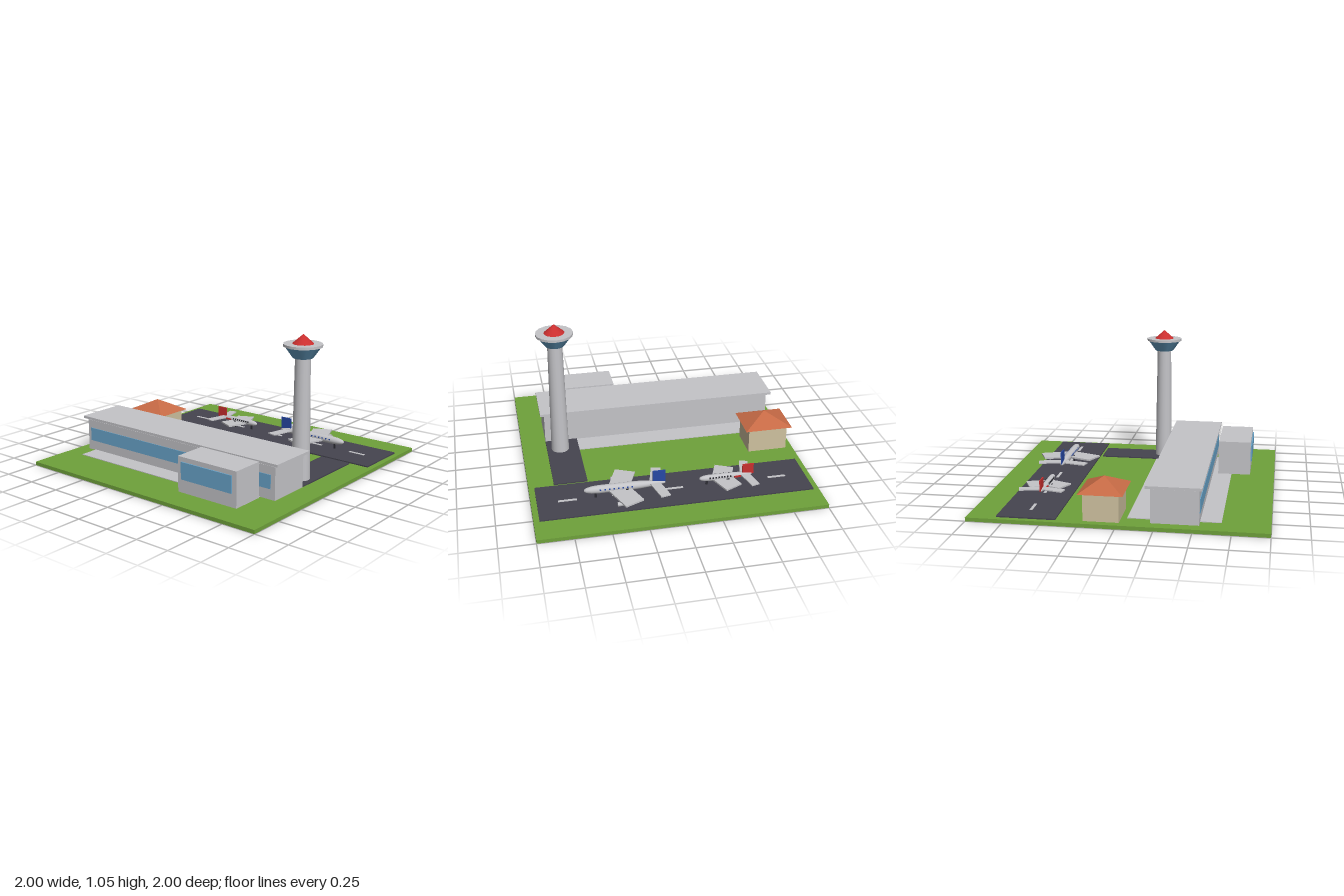
import * as THREE from 'three';

const mat = (name, color, extra = {}) => {
  const m = new THREE.MeshStandardMaterial({ color, ...extra });
  m.name = name;
  return m;
};

export function createModel() {
  const root = new THREE.Group();
  root.name = 'airport';
  const grass = mat('grass', 0x6fa23b);
  const asphalt = mat('asphalt', 0x45444f);
  const grey = mat('lightGrey', 0xc4c4c8);
  const glass = mat('glass', 0x6aa5cb);
  const red = mat('red', 0xca2f2f);
  const tile = mat('roofTile', 0xc66a45);
  const beige = mat('beige', 0xcfc2a0);
  const blue = mat('blue', 0x2749a5);
  const dark = mat('dark', 0x2c2c33);

  const add = (parent, name, geo, material, x = 0, y = 0, z = 0) => {
    const m = new THREE.Mesh(geo, material);
    m.name = name;
    m.position.set(x, y, z);
    parent.add(m);
    return m;
  };
  // Box given by its limits on each axis
  const box = (parent, name, material, x0, x1, y0, y1, z0, z1) =>
    add(parent, name, new THREE.BoxGeometry(x1 - x0, y1 - y0, z1 - z0), material,
      (x0 + x1) / 2, (y0 + y1) / 2, (z0 + z1) / 2);

  // Ground and paving
  box(root, 'ground', grass, -1, 1, 0, 0.026, -1, 1);
  box(root, 'runway', asphalt, -0.96, 0.96, 0.02, 0.035, -0.8, -0.4);
  box(root, 'taxiway', asphalt, 0.58, 0.82, 0.02, 0.035, -0.38, 0.22);
  box(root, 'apron', grey, -0.85, 0.7, 0.02, 0.031, 0.06, 0.68);
  for (let i = -2; i <= 2; i++) {
    const x = i * 0.375;
    box(root, 'runwayDash', grey, x - 0.065, x + 0.065, 0.034, 0.038, -0.612, -0.592);
  }

  // Terminal with floating roof slab, and entrance block
  const terminal = new THREE.Group();
  terminal.name = 'terminal';
  root.add(terminal);
  box(terminal, 'hall', grey, -0.92, 0.82, 0.026, 0.257, 0.22, 0.54);
  box(terminal, 'hallRoof', grey, -0.95, 0.85, 0.267, 0.285, 0.19, 0.56);
  box(terminal, 'hallWindow', glass, -0.89, 0.785, 0.1, 0.198, 0.539, 0.545);
  box(terminal, 'entranceBlock', grey, 0.23, 0.72, 0.035, 0.285, 0.58, 0.82);
  box(terminal, 'entranceWindow', glass, 0.262, 0.685, 0.13, 0.252, 0.82, 0.829);

  // Control tower
  const tower = new THREE.Group();
  tower.name = 'controlTower';
  tower.position.set(0.72, 0, 0.1);
  root.add(tower);
  const cyl = (rt, rb, y0, y1) => new THREE.CylinderGeometry(rt, rb, y1 - y0, 16).translate(0, (y0 + y1) / 2, 0);
  add(tower, 'shaft', cyl(0.054, 0.066, 0.026, 0.89), grey);
  add(tower, 'cab', cyl(0.125, 0.07, 0.89, 0.968), glass);
  add(tower, 'cabRoof', cyl(0.135, 0.135, 0.968, 0.986), grey);
  add(tower, 'cone', new THREE.ConeGeometry(0.075, 0.066, 16).translate(0, 1.018, 0), red);

  // Hut with pyramid roof
  const hut = new THREE.Group();
  hut.name = 'hut';
  hut.position.set(-0.802, 0, -0.1);
  root.add(hut);
  box(hut, 'hutWalls', beige, -0.145, 0.145, 0.026, 0.213, -0.12, 0.12);
  const pyramid = new THREE.ConeGeometry(Math.SQRT1_2, 1, 4).toNonIndexed();
  pyramid.rotateY(Math.PI / 4).scale(0.352, 0.085, 0.3);
  pyramid.computeVertexNormals();
  add(hut, 'hutRoof', pyramid, tile, 0, 0.2555, 0);

  // Swept panel: corners are [x, span] from root lead to tip lead, tip trail, root trail
  const panel = (corners, side, thickness) => {
    const pts = corners.map(([x, s]) => new THREE.Vector2(x, s * side));
    const g = new THREE.ExtrudeGeometry(new THREE.Shape(pts), { depth: thickness, bevelEnabled: false });
    return g.rotateX(Math.PI / 2);
  };

  // Airliner pointing toward +x
  const plane = (p) => {
    const g = new THREE.Group();
    g.name = p.name;
    g.position.z = -0.6;
    root.add(g);
    const len = p.nose - p.tail;
    const profile = [[0, 0], [0.3, 0.01], [0.65, 0.12], [0.95, 0.32], [1, 0.45], [1, 0.82],
      [0.88, 0.91], [0.6, 0.97], [0.3, 0.995], [0, 1]]
      .map(([r, t]) => new THREE.Vector2(r * p.r, t * len));
    add(g, 'fuselage', new THREE.LatheGeometry(profile, 14).rotateZ(-Math.PI / 2), grey, p.tail, p.y, 0);
    for (const side of [-1, 1]) {
      add(g, 'wing', panel(p.wing, side, 0.012), grey, 0, p.y - 0.004, 0);
      add(g, 'tailplane', panel(p.tailplane, side, 0.008), grey, 0, p.y + 0.008, 0);
      // Cabin windows
      for (let i = 0; i < 8; i++) {
        const x = p.tail + len * (0.42 + i * 0.055);
        add(g, 'window', new THREE.BoxGeometry(0.01, 0.01, 0.006), p.windows, x, p.y + 0.008, side * (p.r * 0.96 - 0.001));
      }
      // Landing gear
      const gx = p.tail + len * 0.48;
      box(g, 'mainGear', dark, gx - 0.01, gx + 0.01, 0.035, p.y, side * 0.037 - 0.004, side * 0.037 + 0.004);
      if (p.engine) {
        add(g, 'engine', new THREE.CylinderGeometry(0.016, 0.012, 0.08, 12).rotateZ(-Math.PI / 2),
          grey, p.engine[0], 0.064, side * p.engine[1]);
      }
      if (p.band) box(g, 'band', p.paint, -0.48, -0.43, p.y - 0.006, p.y + 0.006, side * 0.021 - 0.004, side * 0.021 + 0.004);
    }
    const nx = p.tail + len * 0.86;
    box(g, 'noseGear', dark, nx - 0.008, nx + 0.008, 0.035, p.y, -0.004, 0.004);
    box(g, 'fin', p.paint, p.fin[0], p.fin[1], p.y, p.fin[2], -0.004, 0.004);
  };

  plane({
    name: 'largePlane', tail: 0.06, nose: 0.635, r: 0.029, y: 0.097, paint: blue, windows: blue,
    wing: [[0.474, 0], [0.38, 0.235], [0.246, 0.175], [0.316, 0]],
    tailplane: [[0.176, 0], [0.128, 0.19], [0.059, 0.175], [0.103, 0]],
    fin: [0.062, 0.152, 0.195], engine: [0.385, 0.16],
  });
  plane({
    name: 'smallPlane', tail: -0.565, nose: -0.182, r: 0.023, y: 0.087, paint: red, windows: dark,
    wing: [[-0.27, 0], [-0.337, 0.165], [-0.46, 0.107], [-0.416, 0]],
    tailplane: [[-0.476, 0], [-0.519, 0.165], [-0.578, 0.15], [-0.54, 0]],
    fin: [-0.576, -0.494, 0.168], band: true,
  });
  return root;
}
